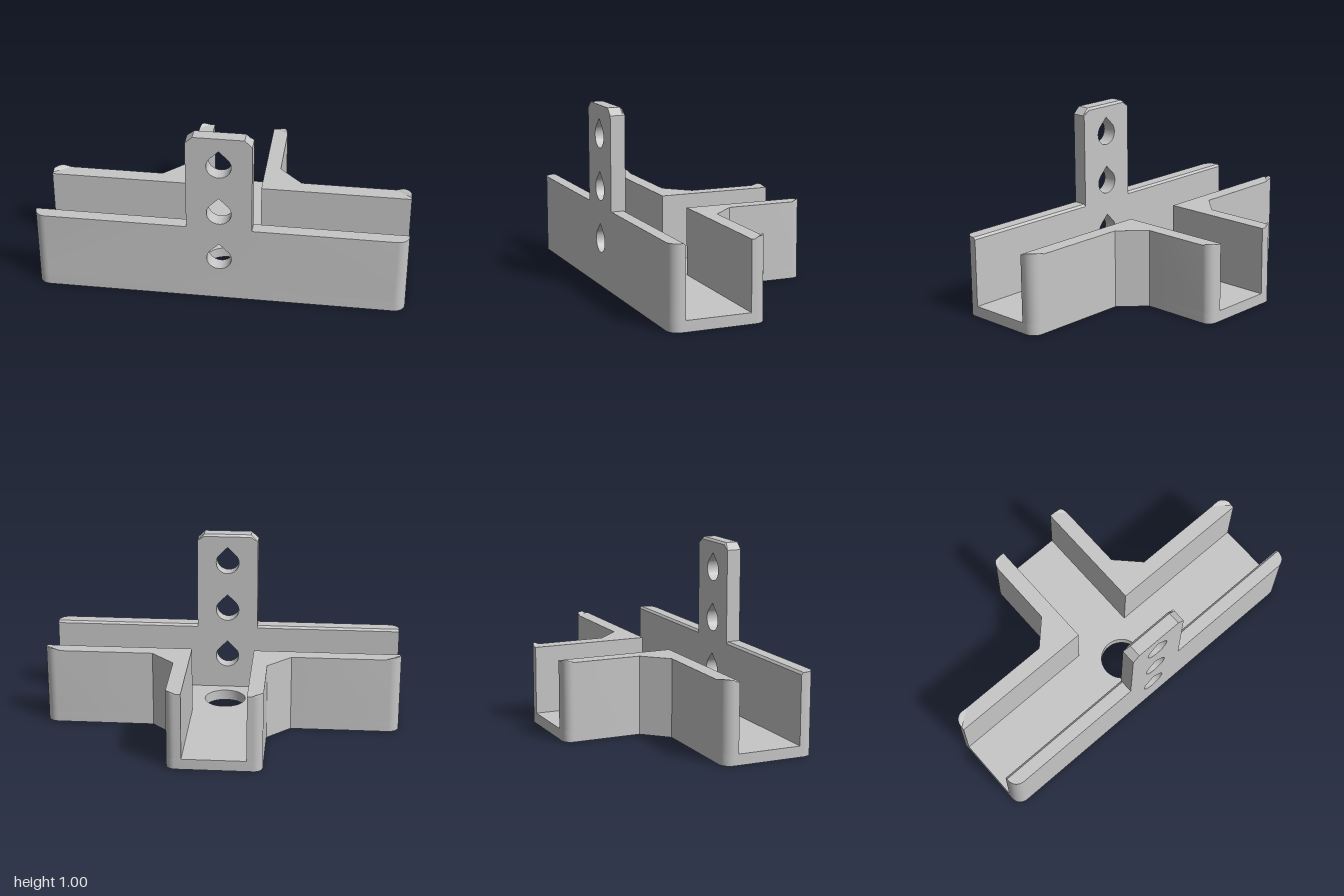
import * as THREE from 'three';
import { toCreasedNormals } from 'three/addons/utils/BufferGeometryUtils.js';
import { ConvexGeometry } from 'three/addons/geometries/ConvexGeometry.js';

const FLOOR = 0.06, WALL = 0.435, LIP = 0.447;
const FRONT = 0.5425, INNER = 0.461, CHANNEL = 0.107, BACK = 0.022, STEM = -0.5425;
const R = 0.06, SEG = 8;

// Quarter-round corner as [x, z] points, angles in degrees
function arc(cx, cz, r, from, to) {
  return Array.from({ length: SEG + 1 }, (_, i) => {
    const a = THREE.MathUtils.degToRad(from + (to - from) * i / SEG);
    return [cx + r * Math.cos(a), cz + r * Math.sin(a)];
  });
}
const flip = pts => pts.map(([x, z]) => [-x, z]);
const mirrored = pts => [...pts, ...flip(pts).reverse()];
const planShape = pts => new THREE.Shape(pts.map(([x, z]) => new THREE.Vector2(x, -z)));

// Removes the triangles that face up (1) or down (-1), where parts join
function dropFaces(source, dir) {
  const geo = source.index ? source.toNonIndexed() : source;
  const p = geo.attributes.position, kept = [];
  const [a, b, c] = [0, 1, 2].map(() => new THREE.Vector3());
  const tri = new THREE.Triangle(a, b, c), n = new THREE.Vector3();
  for (let i = 0; i < p.count; i += 3) {
    [a, b, c].forEach((v, k) => v.fromBufferAttribute(p, i + k));
    tri.getNormal(n);
    if (n.y * dir < 0.95) kept.push(...a.toArray(), ...b.toArray(), ...c.toArray());
  }
  const out = new THREE.BufferGeometry();
  out.setAttribute('position', new THREE.Float32BufferAttribute(kept, 3));
  return toCreasedNormals(out, 0.5);
}

// Upright prism over a plan shape
function prism(shape, y0, y1) {
  const geo = new THREE.ExtrudeGeometry(shape, { depth: y1 - y0, bevelEnabled: false, curveSegments: 24 });
  return geo.rotateX(-Math.PI / 2).translate(0, y0, 0);
}

// Front wall with upright tab and three teardrop holes
function frontPanelGeometry() {
  const half = [[1, FLOOR], [1, LIP], [0.175, LIP], [0.175, 0.962], [0.135, 1]];
  const shape = new THREE.Shape(mirrored(half).map(([x, y]) => new THREE.Vector2(x, y)));
  const r = 0.066, k = Math.SQRT1_2 * r;
  for (const y of [0.256, 0.544, 0.832]) {
    const hole = new THREE.Path();
    hole.moveTo(0, y + r * Math.SQRT2);
    hole.lineTo(-k, y + k);
    hole.absarc(0, y, r, Math.PI * 0.75, Math.PI * 2.25, false);
    hole.closePath();
    shape.holes.push(hole);
  }
  // Layers through the thickness: chamfer, flat part, then rounded ends
  const layers = [[INNER, 1], [INNER + 0.012, 1],
    ...arc(1 - R, FRONT - R, R, 0, 90).map(([x, z]) => [z, x])];
  const steps = layers.length - 1;
  const geo = new THREE.ExtrudeGeometry(shape, { depth: steps, steps, bevelEnabled: false, curveSegments: 28 });
  const p = geo.attributes.position;
  for (let i = 0; i < p.count; i++) {
    const layer = Math.round(p.getZ(i)), x = p.getX(i), y = p.getY(i);
    p.setZ(i, layers[layer][0]);
    if (Math.abs(x) > 0.99) p.setX(i, Math.sign(x) * layers[layer][1]);
    if (layer === 0 && (y > 0.98 || Math.abs(y - LIP) < 0.001)) p.setY(i, y - 0.012);
  }
  return dropFaces(geo, -1);
}

// Small raised corner with a sloping inner side; the rim is the part of the arc at full height
function nubGeometry(corner, rim, feet) {
  const at = (pts, y) => pts.map(([x, z]) => new THREE.Vector3(x, y, z));
  return dropFaces(new ConvexGeometry([...at(feet, WALL), ...at(corner, WALL), ...at(rim, LIP)]), -1);
}

export function createModel() {
  const model = new THREE.Group();
  model.name = 'channelBracket';
  const grey = new THREE.MeshStandardMaterial({ color: 0xc6c6c6 });
  grey.name = 'lightGrey';
  const add = (name, geo) => {
    const mesh = new THREE.Mesh(geo, grey);
    mesh.name = name;
    model.add(mesh);
  };

  const armCorner = arc(1 - R, BACK + R, R, 0, -90);
  const stemCorner = arc(0.21, STEM + 0.05, 0.05, 0, -90);
  const backEdge = [...armCorner, [0.39, BACK], [0.26, -0.11], ...stemCorner];
  const drain = new THREE.Path().absarc(0, -0.283, 0.117, 0, Math.PI * 2, true);

  // Base slab
  const base = planShape(mirrored([...arc(1 - R, FRONT - R, R, 90, 0), ...backEdge]));
  base.holes.push(drain);
  add('baseSlab', dropFaces(prism(base, 0, FLOOR), 1));

  // T-shaped channel floor
  const floor = planShape(mirrored([[1, INNER], [1, CHANNEL], [0.175, CHANNEL], [0.175, STEM]]));
  floor.holes.push(drain);
  add('channelFloor', new THREE.ShapeGeometry(floor, 24).rotateX(-Math.PI / 2).translate(0, FLOOR, 0));

  add('frontPanel', frontPanelGeometry());

  // Back walls and their raised corners, on both sides
  const wall = [[1, CHANNEL], ...backEdge, [0.175, STEM], [0.175, CHANNEL]];
  const armFeet = [[1, 0.091], [0.912, BACK]];
  const stemFeet = [[0.26, -0.49], [0.2, STEM]];
  for (const [side, turn] of [['left', pts => pts], ['right', flip]]) {
    add(side + 'BackWall', dropFaces(prism(planShape(turn(wall)), FLOOR, WALL), -1));
    add(side + 'ArmNub', nubGeometry(turn(armCorner), turn(armCorner.slice(1, -1)), turn(armFeet)));
    add(side + 'StemNub', nubGeometry(turn(stemCorner), turn(stemCorner.slice(3, -3)), turn(stemFeet)));
  }
  return model;
}
